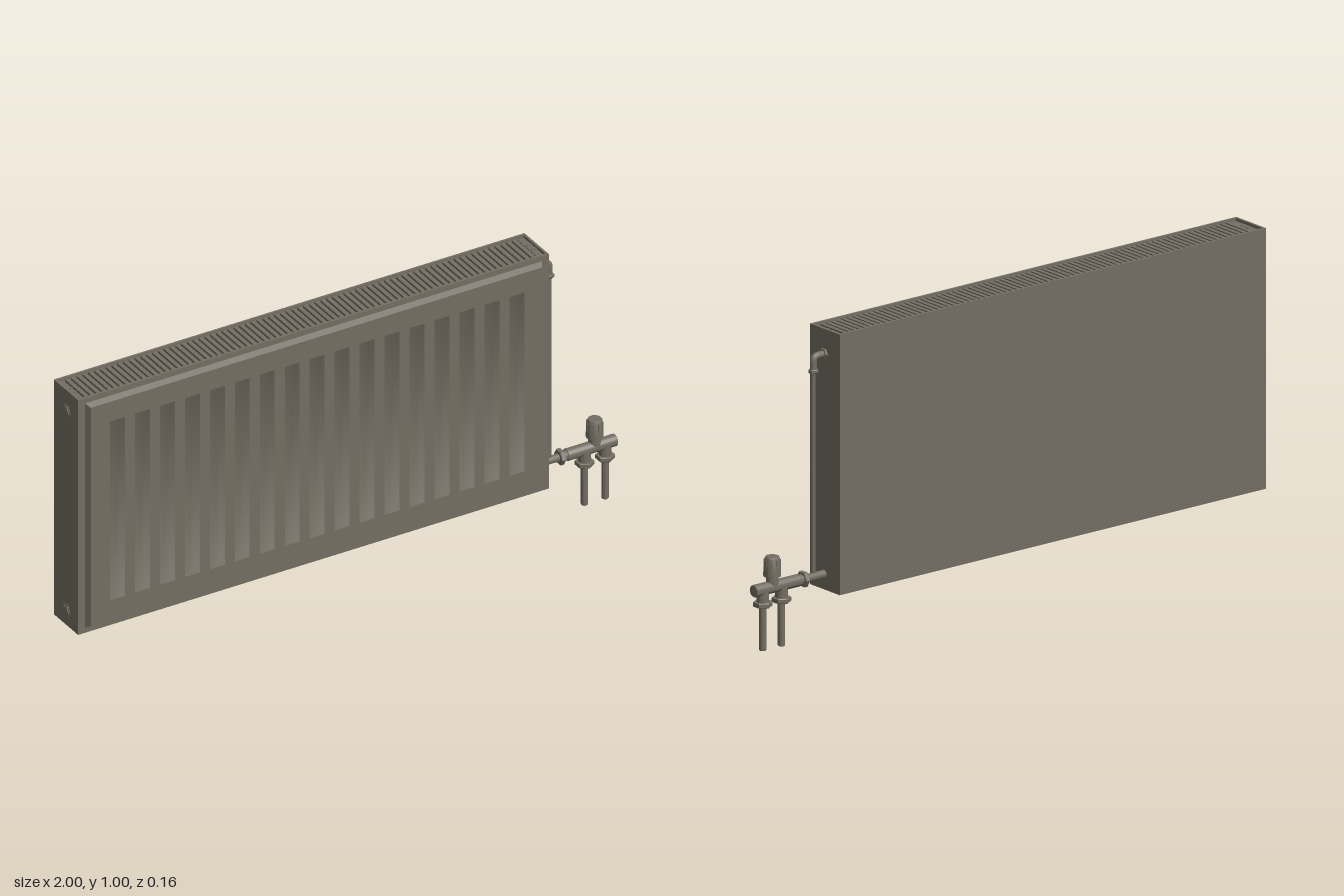
import * as THREE from 'three';
import { toCreasedNormals } from 'three/addons/utils/BufferGeometryUtils.js';

const X0 = -0.995, X1 = 0.715, Y0 = 0.148, Y1 = 1.0, ZB = -0.082, ZF = 0.065, ZP = 0.083;
const PZ = -0.007; // depth of the pipework axis

export function createModel() {
  const model = new THREE.Group();
  const metal = new THREE.MeshStandardMaterial({ color: 0x746e63 });
  metal.name = 'warmGreyMetal';

  const add = (name, geo, x = 0, y = 0, z = 0, parent = model) => {
    const m = new THREE.Mesh(geo, metal);
    m.name = name;
    m.position.set(x, y, z);
    parent.add(m);
    return m;
  };
  // Box given by its limits
  const box = (name, x0, x1, y0, y1, z0, z1, parent) =>
    add(name, new THREE.BoxGeometry(x1 - x0, y1 - y0, z1 - z0),
      (x0 + x1) / 2, (y0 + y1) / 2, (z0 + z1) / 2, parent);
  // Turned part: profile of [radius, distance along axis]; axis is 'x' or 'y'
  const turned = (name, axis, profile, x, y, sides = 20) => {
    let geo = new THREE.LatheGeometry(profile.map(p => new THREE.Vector2(...p)), sides);
    geo = toCreasedNormals(geo, 0.6);
    if (axis === 'x') geo.rotateZ(-Math.PI / 2);
    return add(name, geo, x, y, PZ);
  };
  const rod = (name, axis, r, length, x, y, sides = 20, c = 0.002) =>
    turned(name, axis, [[0, 0], [r - c, 0], [r, c], [r, length - c], [r - c, length], [0, length]], x, y, sides);

  // Sloping ring between two rectangles facing the front, optionally with a floor
  function slopedRing(x0, x1, y0, y1, z0, z1, inset, floor) {
    const pts = [], normals = [], idx = [];
    for (const [d, z] of [[0, z0], [inset, z1]])
      for (const [sx, sy] of [[-1, -1], [1, -1], [1, 1], [-1, 1]]) {
        pts.push(sx < 0 ? x0 + d : x1 - d, sy < 0 ? y0 + d : y1 - d, z);
        const n = new THREE.Vector3(-sx * 0.3, -sy * 0.35, 1).normalize();
        normals.push(n.x, n.y, n.z);
      }
    for (let i = 0; i < 4; i++) {
      const j = (i + 1) % 4;
      idx.push(i, j, j + 4, i, j + 4, i + 4);
    }
    if (floor) idx.push(4, 5, 6, 4, 6, 7);
    const geo = new THREE.BufferGeometry();
    geo.setAttribute('position', new THREE.Float32BufferAttribute(pts, 3));
    geo.setIndex(idx);
    if (floor) {
      geo.setAttribute('normal', new THREE.Float32BufferAttribute(normals, 3));
      return geo;
    }
    const flat = geo.toNonIndexed();
    flat.computeVertexNormals();
    return flat;
  }

  // Casing: back, front, ends and bottom around an open top
  const T = 0.008;
  box('backPanel', X0, X1, Y0, Y1, ZB, ZB + T);
  box('frontCasing', X0, X1, Y0, Y1, ZF - T, ZF);
  box('endCapRight', X0, X0 + T, Y0, Y1, ZB + T, ZF - T);
  box('endCapLeft', X1 - T, X1, Y0, Y1, ZB + T, ZF - T);
  box('bottomPanel', X0 + T, X1 - T, Y0, Y0 + T, ZB + T, ZF - T);
  box('grilleBed', X0 + T, X1 - T, 0.965, 0.972, ZB + T, ZF - T);

  // Top grille: slats across the depth
  const grille = new THREE.Group();
  grille.name = 'topGrille';
  model.add(grille);
  const slats = 78, gx0 = -0.952, gx1 = 0.672;
  for (let i = 0; i < slats; i++) {
    const x = gx0 + (gx1 - gx0) * i / (slats - 1);
    box('grilleSlat', x - 0.007, x + 0.007, 0.972, 0.993, ZB + T, ZF - T, grille);
  }
  for (const [a, b] of [[X0 + T, gx0 - 0.012], [gx1 + 0.012, X1 - T]]) {
    box('grilleEnd', a, b, 0.972, 0.99, ZB + T, ZF - T, grille);
    for (const z of [-0.022, 0.004]) box('grilleClip', a + 0.005, b, 0.99, 0.994, z - 0.003, z + 0.003, grille);
  }

  // Raised front panel with bevelled border and pressed flutes
  const px0 = -0.97, px1 = 0.69, py0 = 0.167, py1 = 0.981, bevel = 0.01;
  add('frontPanelBevel', slopedRing(px0, px1, py0, py1, ZF, ZP, bevel, false));
  const rect = (S, x0, x1, y0, y1) =>
    new S([[x0, y0], [x1, y0], [x1, y1], [x0, y1]].map(p => new THREE.Vector2(...p)));
  const face = rect(THREE.Shape, px0 + bevel, px1 - bevel, py0 + bevel, py1 - bevel);
  const flutes = new THREE.Group();
  flutes.name = 'flutes';
  model.add(flutes);
  for (let i = 0; i < 17; i++) {
    const x = -0.863 + i * 0.0907, w = 0.027;
    face.holes.push(rect(THREE.Path, x - w, x + w, 0.25, 0.9));
    add('flute', slopedRing(x - w, x + w, 0.25, 0.9, ZP, ZP - 0.008, 0.012, true), 0, 0, 0, flutes);
  }
  add('frontPanel', new THREE.ShapeGeometry(face), 0, 0, ZP);

  // Blanking plugs on the far end
  for (const y of [0.2, 0.925]) {
    rod('plug', 'x', 0.02, 0.006, -1.0, y, 6, 0.001);
    rod('plugRim', 'x', 0.025, 0.003, -0.997, y, 20, 0.001);
  }

  // Upper elbow and thin riser pipe
  rod('upperCollar', 'x', 0.019, 0.008, X1, 0.92, 6);
  const bend = new THREE.CurvePath();
  const v = (x, y) => new THREE.Vector3(x, y, PZ);
  bend.add(new THREE.LineCurve3(v(X1, 0.92), v(0.742, 0.92)));
  bend.add(new THREE.QuadraticBezierCurve3(v(0.742, 0.92), v(0.76, 0.92), v(0.76, 0.902)));
  bend.add(new THREE.LineCurve3(v(0.76, 0.902), v(0.76, 0.87)));
  add('upperElbow', new THREE.TubeGeometry(bend, 24, 0.011, 14));
  rod('elbowNut', 'y', 0.016, 0.013, 0.76, 0.865, 6);
  rod('riserPipe', 'y', 0.0065, 0.67, 0.76, 0.2, 12, 0.001);

  // Lower manifold
  rod('inletPipe', 'x', 0.013, 0.085, X1, 0.2);
  rod('inletNut', 'x', 0.027, 0.016, 0.792, 0.2, 6);
  rod('inletNeck', 'x', 0.017, 0.025, 0.805, 0.2);
  rod('manifoldBody', 'x', 0.02, 0.18, 0.82, 0.2);

  // Two supply pipes with union nuts
  for (const x of [0.888, 0.963]) {
    rod('supplyPipe', 'y', 0.0115, 0.15, x, 0);
    rod('unionNut', 'y', 0.031, 0.016, x, 0.144, 6);
    rod('unionNeck', 'y', 0.02, 0.045, x, 0.157);
  }

  // Valve stem and ribbed control knob
  rod('valveStem', 'y', 0.02, 0.04, 0.925, 0.2);
  turned('valveKnob', 'y', [[0, 0], [0.028, 0], [0.028, 0.012], [0.024, 0.058], [0.021, 0.064], [0, 0.064]], 0.925, 0.236, 24);
  for (let i = 0; i < 8; i++) {
    const a = i * Math.PI / 4;
    const rib = add('knobRib', new THREE.BoxGeometry(0.004, 0.042, 0.005),
      0.925 + 0.0255 * Math.cos(a), 0.27, PZ + 0.0255 * Math.sin(a));
    rib.rotation.y = -a;
  }
  return model;
}
